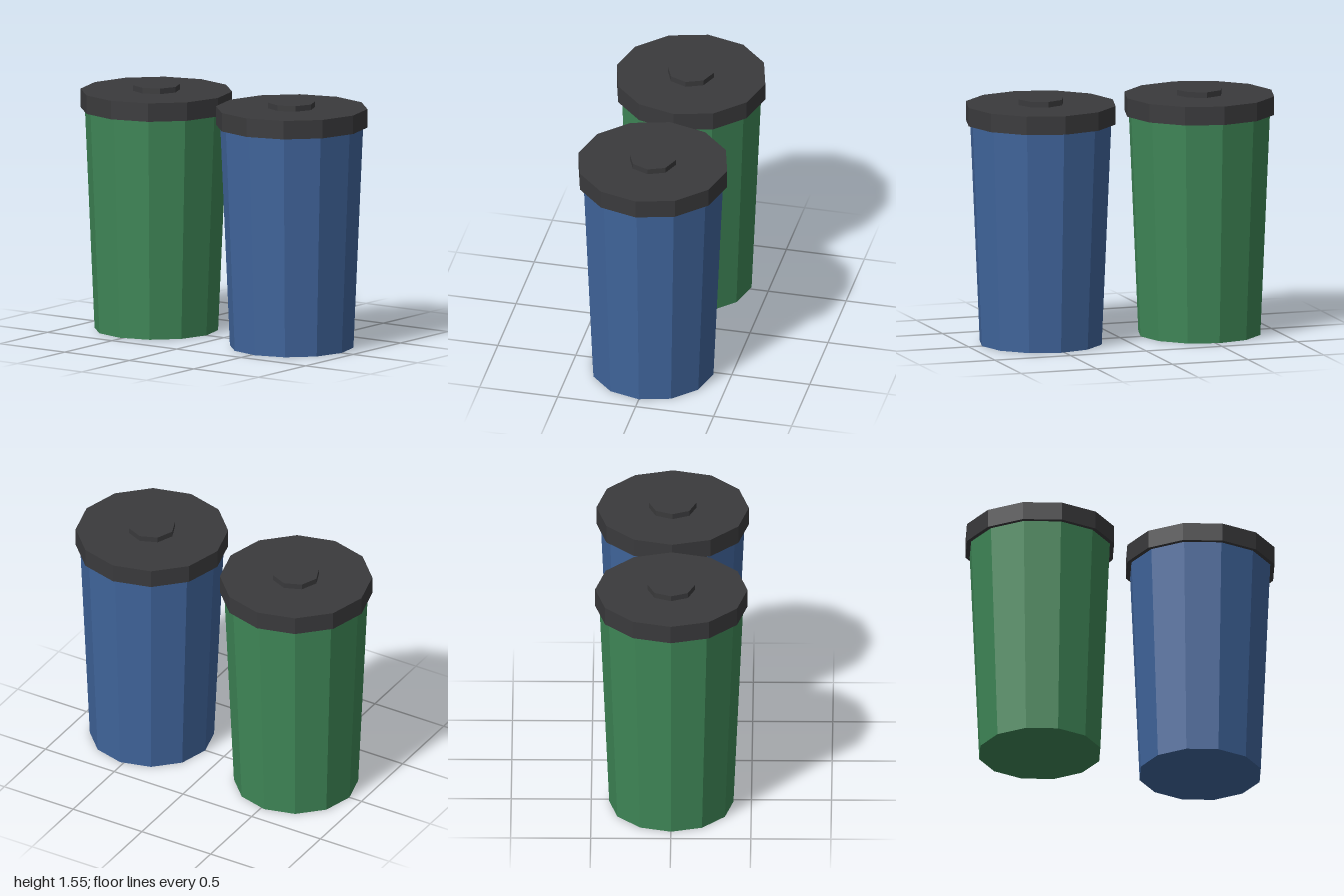
import * as THREE from 'three';

const paint = (color) => new THREE.MeshStandardMaterial({ color, flatShading: true });

// Upright faceted cylinder standing on height y0
function drum(name, rTop, rBottom, y0, y1, sides, material) {
  const mesh = new THREE.Mesh(new THREE.CylinderGeometry(rTop, rBottom, y1 - y0, sides), material);
  mesh.name = name;
  mesh.position.y = (y0 + y1) / 2;
  return mesh;
}

// One bin: tapered body, overhanging lid and a small knob
function makeBin(name, x, bodyMaterial, lidMaterial) {
  const bin = new THREE.Group();
  bin.name = name;
  bin.position.x = x;
  bin.add(
    drum('body', 0.449, 0.388, 0, 1.4, 12, bodyMaterial),
    drum('lid', 0.476, 0.476, 1.398, 1.515, 12, lidMaterial),
    drum('lidKnob', 0.148, 0.148, 1.515, 1.55, 8, lidMaterial)
  );
  return bin;
}

export function createModel() {
  const model = new THREE.Group();
  model.name = 'recyclingBins';
  const dark = paint(0x3a3a3c);
  model.add(
    makeBin('greenBin', -0.524, paint(0x3f8757), dark),
    makeBin('blueBin', 0.524, paint(0x40659c), dark)
  );
  return model;
}
